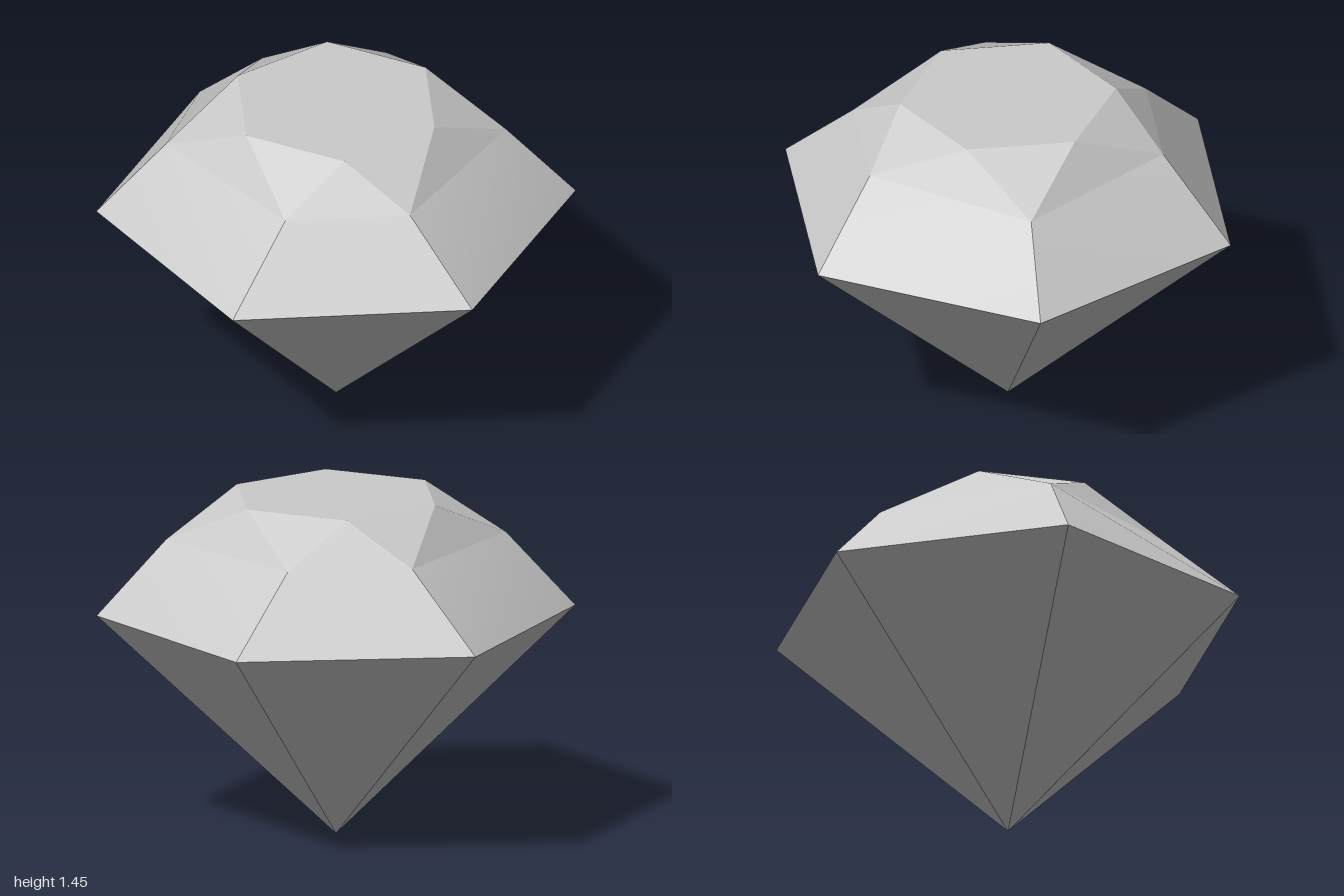
import * as THREE from 'three';
import { toCreasedNormals } from 'three/addons/utils/BufferGeometryUtils.js';

const SIDES = 6;

// Six points around the y axis
function ring(radius, y, offset = 0) {
  return Array.from({ length: SIDES }, (_, i) => {
    const a = ((i + offset) * Math.PI * 2) / SIDES;
    return new THREE.Vector3(radius * Math.cos(a), y, radius * Math.sin(a));
  });
}

// Mesh from a list of triangles, each with three corner points
function facets(name, triangles) {
  const geometry = new THREE.BufferGeometry().setFromPoints(triangles.flat());
  const material = new THREE.MeshStandardMaterial({ color: 0xcccccc });
  const mesh = new THREE.Mesh(toCreasedNormals(geometry, 0.2), material);
  mesh.name = name;
  return mesh;
}

export function createModel() {
  const group = new THREE.Group();
  group.name = 'cutGem';

  const culet = new THREE.Vector3(0, 0, 0);
  const girdle = ring(1, 0.955);
  const table = ring(0.453, 1.45, 0.5);
  const tableCentre = new THREE.Vector3(0, 1.45, 0);

  // Middle ring of the crown, narrower along x than a regular hexagon
  const middle = [[0.71, 0], [0.26, 0.615], [-0.26, 0.615], [-0.71, 0], [-0.26, -0.615], [0.26, -0.615]]
    .map(([x, z]) => new THREE.Vector3(x, 1.275, z));

  const pavilion = [], crown = [], star = [], top = [];
  for (let i = 0; i < SIDES; i++) {
    const n = (i + 1) % SIDES;
    // Lower point
    pavilion.push([culet, girdle[i], girdle[n]]);
    // Sloping crown facet, split along its convex diagonal
    if (i % 3 === 2) {
      crown.push([girdle[n], girdle[i], middle[n]], [girdle[i], middle[i], middle[n]]);
    } else {
      crown.push([girdle[n], girdle[i], middle[i]], [girdle[n], middle[i], middle[n]]);
    }
    // Triangles alternating between the middle ring and the table
    star.push([middle[n], middle[i], table[i]], [middle[n], table[i], table[n]]);
    // Flat top
    top.push([tableCentre, table[n], table[i]]);
  }

  group.add(
    facets('pavilion', pavilion),
    facets('crown', crown),
    facets('starFacets', star),
    facets('table', top)
  );
  return group;
}
